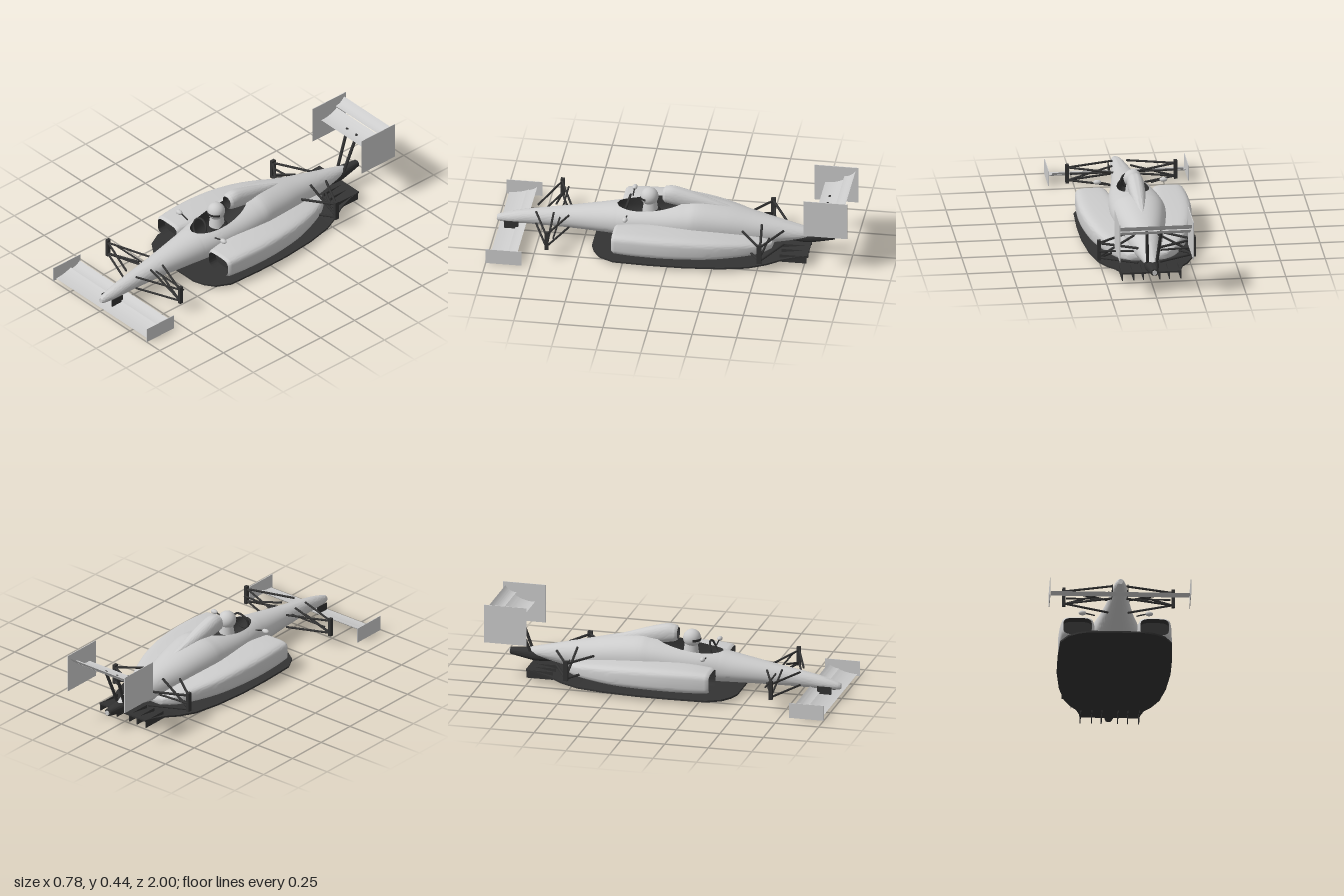
import * as THREE from 'three';
import { toCreasedNormals } from 'three/addons/utils/BufferGeometryUtils.js';

const light = new THREE.MeshStandardMaterial({ color: 0xcccccc });
light.name = 'paleGrey';
const dark = new THREE.MeshStandardMaterial({ color: 0x333333 });
dark.name = 'charcoal';

const V = (x, y, z) => new THREE.Vector3(x, y, z);

// Smoothly subdivide a table of stations
function smooth(st, n) {
  const out = [];
  const at = i => st[Math.min(Math.max(i, 0), st.length - 1)];
  for (let i = 0; i < st.length - 1; i++) {
    for (let k = 0; k < n; k++) {
      const t = k / n;
      out.push(st[i].map((b, c) => {
        const a = at(i - 1)[c], d = at(i + 1)[c], e = at(i + 2)[c];
        return b + 0.5 * t * (d - a + t * (2 * a - 5 * b + 4 * d - e + t * (3 * (b - d) + e - a)));
      }));
    }
  }
  out.push(st[st.length - 1]);
  return out;
}

// Superellipse ring at z, running clockwise seen from the front; gap is the half-width left open on top
function ring(z, cx, W, T, M, B, N, gap = 0, seg = 44) {
  const t0 = Math.acos(Math.pow(Math.min(gap / W, 1), N / 2));
  const pow = v => Math.sign(v) * Math.pow(Math.abs(v), 2 / N);
  return Array.from({ length: seg + 1 }, (_, j) => {
    const t = t0 - (Math.PI + 2 * t0) * j / seg;
    const s = pow(Math.sin(t));
    return V(cx + W * pow(Math.cos(t)), M + s * (s > 0 ? T - M : M - B), z);
  });
}

// All points of a row drawn together at its centre, to close an end
function closed(row, dz = 0) {
  const c = row.reduce((s, p) => s.add(p), V(0, 0, 0)).divideScalar(row.length);
  c.z += dz;
  return row.map(() => c);
}

function loft(name, rows, mat, crease = 0.7) {
  const n = rows[0].length, idx = [];
  for (let i = 0; i < rows.length - 1; i++) {
    for (let j = 0; j < n - 1; j++) {
      const a = i * n + j, c = a + n;
      idx.push(a, a + 1, c, a + 1, c + 1, c);
    }
  }
  const g = new THREE.BufferGeometry().setFromPoints(rows.flat());
  g.setIndex(idx);
  return named(name, toCreasedNormals(g, crease), mat);
}

function named(name, geo, mat, x = 0, y = 0, z = 0) {
  const m = new THREE.Mesh(geo, mat);
  m.name = name;
  m.position.set(x, y, z);
  return m;
}

const box = (name, mat, w, h, d, x, y, z) => named(name, new THREE.BoxGeometry(w, h, d), mat, x, y, z);

function rod(name, a, b, r = 0.006) {
  const m = named(name, new THREE.CylinderGeometry(r, r, a.distanceTo(b), 8), dark);
  m.position.copy(a).lerp(b, 0.5);
  m.quaternion.setFromUnitVectors(V(0, 1, 0), b.clone().sub(a).normalize());
  return m;
}

// Curved wing element; points are [-z, y]
function wing(name, half, lead, trail, upper, lower) {
  const s = new THREE.Shape();
  s.moveTo(...lead);
  s.quadraticCurveTo(...lower, ...trail);
  s.quadraticCurveTo(...upper, ...lead);
  const g = new THREE.ExtrudeGeometry(s, { depth: 2 * half, bevelEnabled: false, curveSegments: 14 });
  g.rotateY(Math.PI / 2).translate(-half, 0, 0);
  return named(name, toCreasedNormals(g, 0.6), light);
}

export function createModel() {
  const car = new THREE.Group();
  car.name = 'racingCar';
  const add = (...m) => car.add(...m);

  // Body shell: z, half-width, top, widest height, bottom, squareness
  const body = smooth([
    [0.995, 0.013, 0.086, 0.07, 0.056, 2], [0.975, 0.022, 0.096, 0.072, 0.051, 2],
    [0.9, 0.036, 0.118, 0.08, 0.05, 2], [0.8, 0.044, 0.138, 0.095, 0.052, 2.1],
    [0.6, 0.065, 0.172, 0.11, 0.052, 2.1], [0.4, 0.095, 0.208, 0.12, 0.05, 2.1],
    [0.32, 0.108, 0.222, 0.125, 0.05, 2.2], [0.2, 0.13, 0.238, 0.14, 0.05, 2.3],
    [0.05, 0.148, 0.257, 0.15, 0.047, 2.4], [-0.07, 0.155, 0.274, 0.16, 0.045, 2.4],
    [-0.15, 0.152, 0.28, 0.16, 0.045, 2.4], [-0.3, 0.128, 0.256, 0.15, 0.042, 2.3],
    [-0.45, 0.097, 0.222, 0.13, 0.045, 2.2], [-0.6, 0.066, 0.188, 0.125, 0.065, 2.1],
    [-0.72, 0.045, 0.16, 0.12, 0.09, 2], [-0.82, 0.022, 0.135, 0.118, 0.105, 2]], 10);
  const gapAt = z => 0.088 * Math.sqrt(Math.max(0, 1 - ((z - 0.125) / 0.195) ** 2));
  const shell = body.map(([z, ...p]) => ring(z, 0, ...p, gapAt(z)));
  add(loft('bodyShell', [closed(shell[0]), ...shell, closed(shell[shell.length - 1])], light));

  // Cockpit tub hung from the opening's rim
  const tub = shell.filter(r => r[0].z < 0.3201 && r[0].z > -0.0701).map(r => {
    const { x, y, z } = r[0];
    return Array.from({ length: 17 }, (_, j) => {
      const t = Math.PI * (1 - j / 16);
      return V(x * Math.cos(t), y - 1.25 * x * Math.sqrt(Math.max(0, Math.sin(t))), z);
    });
  });
  add(loft('cockpitTub', tub, dark));

  // Driver and steering wheel
  const helmet = named('helmet', new THREE.SphereGeometry(0.05, 32, 20), light, 0, 0.28, 0.14);
  const visor = named('visor',
    new THREE.SphereGeometry(0.052, 24, 4, Math.PI * 0.1, Math.PI * 0.8, Math.PI * 0.48, Math.PI * 0.09),
    dark, 0, 0.28, 0.14);
  const neck = named('neck', new THREE.CylinderGeometry(0.035, 0.045, 0.07, 24), light, 0, 0.22, 0.135);
  const shoulders = named('shoulders', new THREE.SphereGeometry(0.06, 24, 12), dark, 0, 0.17, 0.12);
  shoulders.scale.set(1.1, 0.7, 0.8);
  const wheel = named('steeringWheel', new THREE.TorusGeometry(0.05, 0.006, 8, 32), dark, 0, 0.225, 0.262);
  wheel.rotation.x = -0.3;
  add(helmet, visor, neck, shoulders, wheel);

  // Engine air intake and its dark mouth
  const scoop = smooth([[0.05, 0.043, 0.346, 0.255], [0, 0.046, 0.351, 0.245], [-0.1, 0.043, 0.325, 0.23],
    [-0.2, 0.032, 0.292, 0.22], [-0.28, 0.018, 0.266, 0.22], [-0.33, 0.007, 0.248, 0.21]], 6)
    .map(([z, w, t, b]) => ring(z, 0, w, t, (t + b) / 2, b, 2.2));
  const mouth = z => ring(z, 0, 0.032, 0.334, 0.3, 0.267, 2.2);
  add(loft('airScoop', [mouth(0.062), ...scoop, closed(scoop[scoop.length - 1])], light));
  add(loft('airScoopMouth', [closed(mouth(0.03)), mouth(0.03), mouth(0.062)], dark));

  // Floor and rising diffuser: z, half-width, height
  const floor = [[0.44, 0.15, 0.022], [0.42, 0.21, 0.022], [0.38, 0.268, 0.022], [0.3, 0.31, 0.022],
    [0.1, 0.318, 0.022], [-0.1, 0.316, 0.022], [-0.3, 0.297, 0.022], [-0.45, 0.265, 0.022],
    [-0.55, 0.225, 0.029], [-0.62, 0.19, 0.04], [-0.7, 0.172, 0.053], [-0.77, 0.165, 0.064]]
    .map(([z, w, y]) => [[w, 1], [w, -1], [-w, -1], [-w, 1], [w, 1]].map(([x, s]) => V(x, y + s * 0.005, z)));
  add(loft('floor', [closed(floor[0]), ...floor, closed(floor[floor.length - 1])], dark, 0.4));
  for (const x of [-0.163, -0.1, -0.045, 0.045, 0.1, 0.163]) {
    add(box('diffuserFence', dark, 0.005, 0.045, 0.15, x, 0.042, -0.69));
  }

  // Gearbox and tail
  const box0 = smooth([[-0.66, 0.035, 0.14, 0.075], [-0.75, 0.04, 0.14, 0.07], [-0.82, 0.032, 0.138, 0.08],
    [-0.9, 0.02, 0.132, 0.095]], 5).map(([z, w, t, b]) => ring(z, 0, w, t, (t + b) / 2, b, 2.5));
  add(loft('gearbox', [closed(box0[0]), ...box0, closed(box0[box0.length - 1])], dark));
  const lamp = named('tailLamp', new THREE.CylinderGeometry(0.013, 0.013, 0.008, 20), light, 0, 0.113, -0.902);
  lamp.rotation.x = Math.PI / 2;
  add(lamp);

  // Wings
  add(wing('frontWingMain', 0.385, [-0.985, 0.012], [-0.875, 0.036], [-0.92, 0.014], [-0.95, -0.006]));
  add(wing('frontWingFlap', 0.367, [-0.885, 0.042], [-0.825, 0.068], [-0.85, 0.045], [-0.868, 0.03]));
  add(wing('rearWingMain', 0.2, [0.815, 0.338], [0.93, 0.37], [0.88, 0.336], [0.85, 0.303]));
  add(wing('rearWingFlap', 0.2, [0.922, 0.384], [0.985, 0.42], [0.96, 0.386], [0.944, 0.367]));

  for (const s of [1, -1]) {
    add(box('frontEndplate', light, 0.004, 0.087, 0.2, s * 0.39, 0.0435, 0.9));
    add(box('rearEndplate', light, 0.004, 0.22, 0.245, s * 0.205, 0.33, -0.8775));
    add(box('noseWingPylon', dark, 0.004, 0.043, 0.08, s * 0.043, 0.053, 0.91));
    add(rod('rearWingPillar', V(s * 0.025, 0.12, -0.78), V(s * 0.04, 0.345, -0.868), 0.009));

    // Side pod: z, inner x, outer x, top, bottom
    const pod = smooth([[0.3, 0.125, 0.303, 0.172, 0.055], [0.2, 0.11, 0.312, 0.178, 0.05],
      [0.05, 0.09, 0.315, 0.178, 0.047], [-0.1, 0.08, 0.302, 0.172, 0.045], [-0.25, 0.06, 0.272, 0.158, 0.043],
      [-0.4, 0.04, 0.217, 0.137, 0.045], [-0.5, 0.02, 0.165, 0.118, 0.05], [-0.56, 0.01, 0.11, 0.1, 0.06]], 6)
      .map(([z, a, b, t, u]) => ring(z, s * (a + b) / 2, (b - a) / 2, t, (t + u) / 2, u, 4));
    const duct = z => ring(z, s * 0.214, 0.079, 0.163, 0.1135, 0.064, 4);
    add(loft('sidePod', [duct(0.312), ...pod, closed(pod[pod.length - 1], -0.01)], light));
    add(loft('sidePodDuct', [closed(duct(0.26)), duct(0.26), duct(0.312)], dark));

    // Mirror
    const mirror = named('mirror', new THREE.SphereGeometry(0.022, 20, 12), light, s * 0.185, 0.223, 0.25);
    mirror.scale.set(1, 0.58, 0.65);
    add(mirror, rod('mirrorStalk', V(s * 0.115, 0.208, 0.25), V(s * 0.17, 0.222, 0.25), 0.004));

    // Front suspension
    const f = (x, y, z) => V(s * x, y, z);
    add(box('frontUpright', dark, 0.018, 0.108, 0.022, s * 0.303, 0.12, 0.672));
    for (const [y, r] of [[0.155, 0.006], [0.08, 0.006]]) {
      add(rod('frontWishbone', f(0.04, y - 0.008, 0.77), f(0.3, y, 0.675), r));
      add(rod('frontWishbone', f(0.055, y - 0.008, 0.585), f(0.3, y, 0.675), r));
    }
    add(rod('frontPushrod', f(0.05, 0.155, 0.67), f(0.3, 0.08, 0.672)));
    add(rod('frontTrackRod', f(0.05, 0.13, 0.635), f(0.29, 0.13, 0.637), 0.005));

    // Rear suspension
    add(box('rearUpright', dark, 0.018, 0.115, 0.026, s * 0.265, 0.115, -0.515));
    for (const y of [0.155, 0.07]) {
      add(rod('rearWishbone', f(0.06, y, -0.62), f(0.265, y, -0.515), 0.007));
      add(rod('rearWishbone', f(0.08, y + 0.004, -0.38), f(0.265, y, -0.515), 0.007));
    }
    add(rod('rearPushrod', f(0.065, 0.188, -0.5), f(0.265, 0.075, -0.515), 0.007));
    add(rod('rearTrackRod', f(0.05, 0.11, -0.545), f(0.265, 0.11, -0.525), 0.006));
  }
  return car;
}
